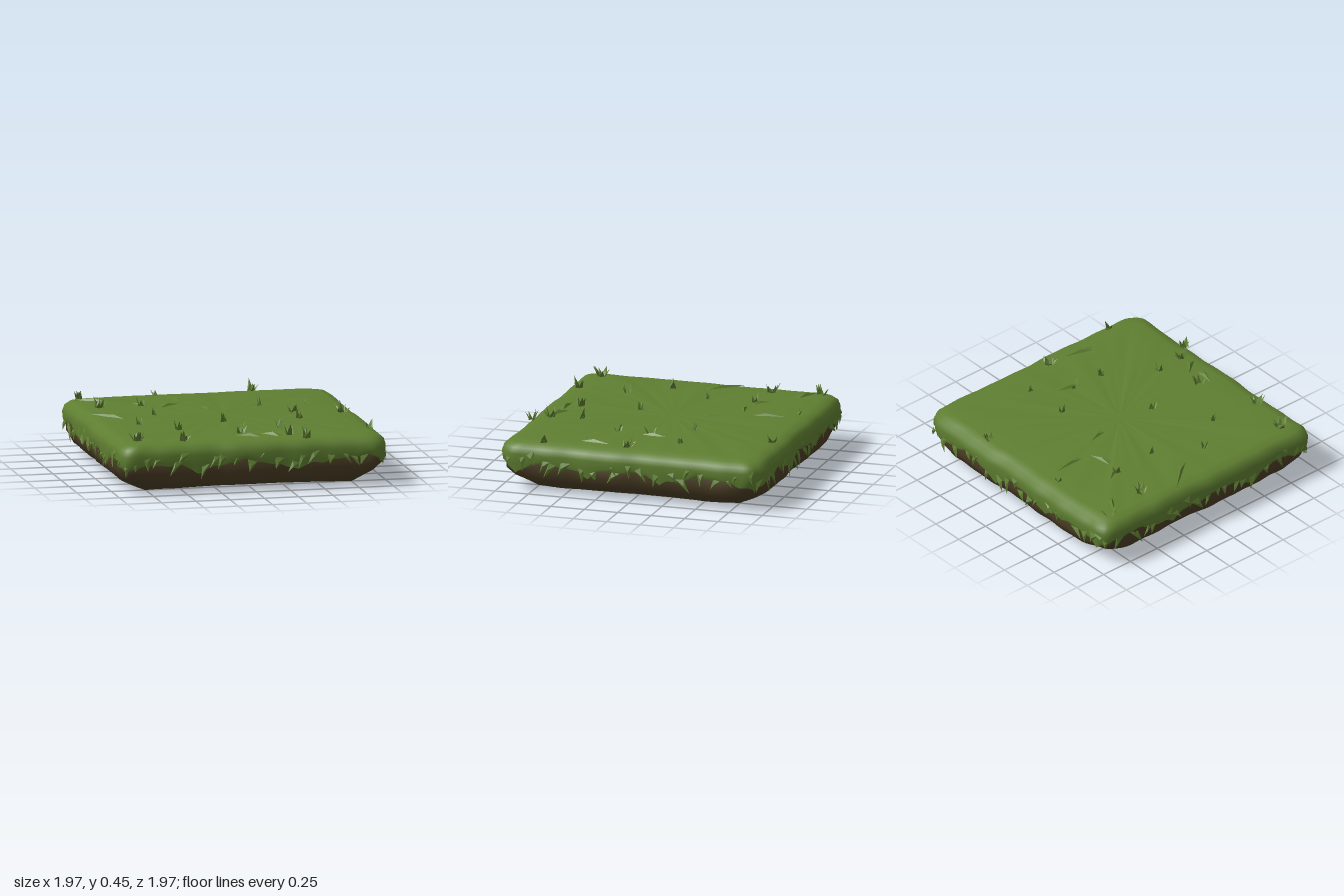
import * as THREE from 'three';

const grass = new THREE.MeshStandardMaterial({ color: 0x5f7f31, side: THREE.DoubleSide });
grass.name = 'grassGreen';
const dirt = new THREE.MeshStandardMaterial({ color: 0x4b3e25 });
dirt.name = 'dirtBrown';

const N = 320; // points around each ring

function seeded(seed) {
  return () => {
    seed = (seed * 16807) % 2147483647;
    return seed / 2147483647;
  };
}

// point on a rounded square, u runs 0..4 around the four sides
function rim(u, h, r) {
  const side = Math.floor(u) % 4;
  let x = ((u % 1) * 2 - 1) * h, z = h;
  const k = h - r;
  const cx = THREE.MathUtils.clamp(x, -k, k);
  const len = Math.hypot(x - cx, z - k) || 1;
  x = cx + ((x - cx) / len) * r;
  z = k + ((z - k) / len) * r;
  for (let i = 0; i < side; i++) [x, z] = [z, -x];
  return [x, z];
}

// slow bumps that close up around the rim
function wobble(u) {
  const a = (u * Math.PI) / 2;
  return 0.5 * Math.sin(9 * a + 1) + 0.3 * Math.sin(17 * a + 2) + 0.2 * Math.sin(31 * a);
}

// 0 at the middle of a side, 1 at a corner
const cornerness = (u) => Math.pow(Math.abs((u % 1) * 2 - 1), 3);

// skin over rings listed from top to bottom: { h, r, y(u), bump }
function loft(rings) {
  const pos = [], index = [];
  rings.forEach(({ h, r, y, bump = 0 }, i) => {
    for (let j = 0; j < N; j++) {
      const u = (j / N) * 4;
      const [x, z] = rim(u, h, r);
      const s = 1 + bump * wobble(u);
      pos.push(x * s, typeof y === 'function' ? y(u) : y, z * s);
      if (i === 0) continue;
      const n = (j + 1) % N, a = (i - 1) * N, b = i * N;
      index.push(a + j, b + j, a + n, a + n, b + j, b + n);
    }
  });
  const g = new THREE.BufferGeometry();
  g.setAttribute('position', new THREE.Float32BufferAttribute(pos, 3));
  g.setIndex(index);
  g.computeVertexNormals();
  return g;
}

// folded pointed leaf from base to tip, added as loose triangles
function addLeaf(list, base, tip, across, lift) {
  const l = base.clone().sub(across), r = base.clone().add(across);
  const m = base.clone().lerp(tip, 0.45).add(lift);
  for (const p of [l, m, tip, m, r, tip, l, r, m]) list.push(p.x, p.y, p.z);
}

function leafMesh(list, name) {
  const g = new THREE.BufferGeometry();
  g.setAttribute('position', new THREE.Float32BufferAttribute(list, 3));
  g.computeVertexNormals();
  const mesh = new THREE.Mesh(g, grass);
  mesh.name = name;
  return mesh;
}

const V = (x, y, z) => new THREE.Vector3(x, y, z);

export function createModel() {
  const group = new THREE.Group();
  group.name = 'grassTile';
  const rnd = seeded(4711);

  // dirt slab with a chamfered, slightly dipping underside
  const under = (u) => 0.035 - 0.034 * cornerness(u);
  const soil = new THREE.Mesh(loft([
    { h: 0.93, r: 0.1, y: 0.3 },
    { h: 0.957, r: 0.12, y: 0.22, bump: 0.008 },
    { h: 0.957, r: 0.15, y: 0.15, bump: 0.012 },
    { h: 0.93, r: 0.25, y: 0.085, bump: 0.015 },
    { h: 0.87, r: 0.4, y: under, bump: 0.008 },
    { h: 0.84, r: 0.42, y: (u) => under(u) + 0.001 },
    { h: 0.001, r: 0.0005, y: 0.036 },
  ]), dirt);
  soil.name = 'dirtSlab';
  group.add(soil);

  // turf with a scalloped lower edge
  const hem = (u) => {
    const wave = Math.abs(Math.sin(u * Math.PI * 3 + 0.5 * Math.sin(u * Math.PI * 1.5)));
    return 0.12 + 0.1 * Math.sqrt(wave) + 0.02 * wobble(u * 2);
  };
  const turf = new THREE.Mesh(loft([
    { h: 0.001, r: 0.0005, y: 0.376 },
    { h: 0.4, r: 0.1, y: (u) => 0.376 + 0.004 * wobble(u) },
    { h: 0.7, r: 0.1, y: (u) => 0.374 + 0.005 * wobble(u + 1) },
    { h: 0.87, r: 0.1, y: 0.37, bump: 0.01 },
    { h: 0.93, r: 0.11, y: 0.356, bump: 0.01 },
    { h: 0.965, r: 0.12, y: 0.325, bump: 0.01 },
    { h: 0.977, r: 0.12, y: 0.28, bump: 0.012 },
    { h: 0.972, r: 0.12, y: (u) => Math.max(hem(u), 0.2) + 0.015, bump: 0.012 },
    { h: 0.966, r: 0.15, y: hem, bump: 0.012 },
  ]), grass);
  turf.name = 'turf';
  group.add(turf);

  // upright tufts: x, z, spread, blade count
  const tufts = [
    [-0.8, -0.48, 0.07, 8], [-0.86, -0.83, 0.07, 4], [0.4, -0.87, 0.06, 4],
    [-0.05, 0.7, 0.06, 5], [-0.06, 0.25, 0.05, 5], [0.49, 0.25, 0.05, 5],
    [0.5, 0, 0.05, 3], [0.84, 0.06, 0.07, 8], [-0.45, 0.49, 0.04, 4],
    [-0.67, 0.22, 0.04, 3], [-0.5, 0.86, 0.06, 6], [-0.82, 0.8, 0.08, 9],
    [0.28, 0.82, 0.06, 6], [0.38, 0.93, 0.06, 5], [0.9, 0.67, 0.05, 4],
    [-0.5, -0.45, 0.04, 3], [0.32, -0.26, 0.04, 3], [-0.31, -0.83, 0.04, 2],
    [0.65, -0.27, 0.03, 2], [0.26, 0.6, 0.04, 3], [-0.48, -0.11, 0.04, 3],
  ];
  const blades = [];
  for (const [x, z, spread, count] of tufts) {
    for (let i = 0; i < count; i++) {
      const a = rnd() * Math.PI * 2, d = spread * (0.5 + rnd() * 0.5);
      const base = V(x + Math.cos(a) * d * 0.3, 0.362, z + Math.sin(a) * d * 0.3);
      const tip = V(x + Math.cos(a) * d, 0.4 + rnd() * 0.055, z + Math.sin(a) * d);
      const w = 0.018 + rnd() * 0.012;
      addLeaf(blades, base, tip, V(-Math.sin(a) * w, 0, Math.cos(a) * w), V(0, 0.012, 0));
    }
  }
  group.add(leafMesh(blades, 'grassTufts'));

  // long low folds in the turf: from x, z to x, z
  const folds = [
    [-0.68, 0.02, -0.92, -0.25], [-0.19, -0.5, -0.22, -0.78], [-0.4, -0.4, -0.2, -0.47],
    [-0.68, -0.68, -0.9, -0.8], [-0.45, -0.42, -0.56, -0.57], [0.08, 0.82, -0.1, 0.78],
    [0.78, 0.43, 0.83, 0.2], [0.5, 0.08, 0.54, -0.14], [-0.04, -0.18, -0.1, -0.36],
    [0.22, 0.85, 0.1, 0.74],
  ];
  const ridges = [];
  for (const [x0, z0, x1, z1] of folds) {
    const dir = V(x1 - x0, 0, z1 - z0).normalize();
    addLeaf(ridges, V(x0, 0.368, z0), V(x1, 0.373, z1),
      V(-dir.z * 0.03, 0, dir.x * 0.03), V(0, 0.022, 0));
  }
  group.add(leafMesh(ridges, 'turfFolds'));

  // ragged leaves hanging over the sides
  const hanging = [];
  const COUNT = 84;
  for (let i = 0; i < COUNT; i++) {
    const u = ((i + rnd() * 0.8) / COUNT) * 4;
    const top = 0.2 + rnd() * 0.1, drop = 0.06 + rnd() * 0.06;
    const u2 = (u + (rnd() - 0.5) * 0.08 + 4) % 4;
    const [x, z] = rim(u, 0.968, 0.12);
    const [x2, z2] = rim(u2, 0.978, 0.13);
    const [nx, nz] = rim((u + 0.01) % 4, 0.968, 0.12);
    const along = V(nx - x, 0, nz - z).setLength(0.022 + rnd() * 0.02);
    along.y = (rnd() - 0.5) * 0.03;
    addLeaf(hanging, V(x, top, z), V(x2, Math.max(top - drop, 0.1), z2),
      along, V(x, 0, z).setLength(0.014));
  }
  group.add(leafMesh(hanging, 'hangingLeaves'));
  return group;
}
